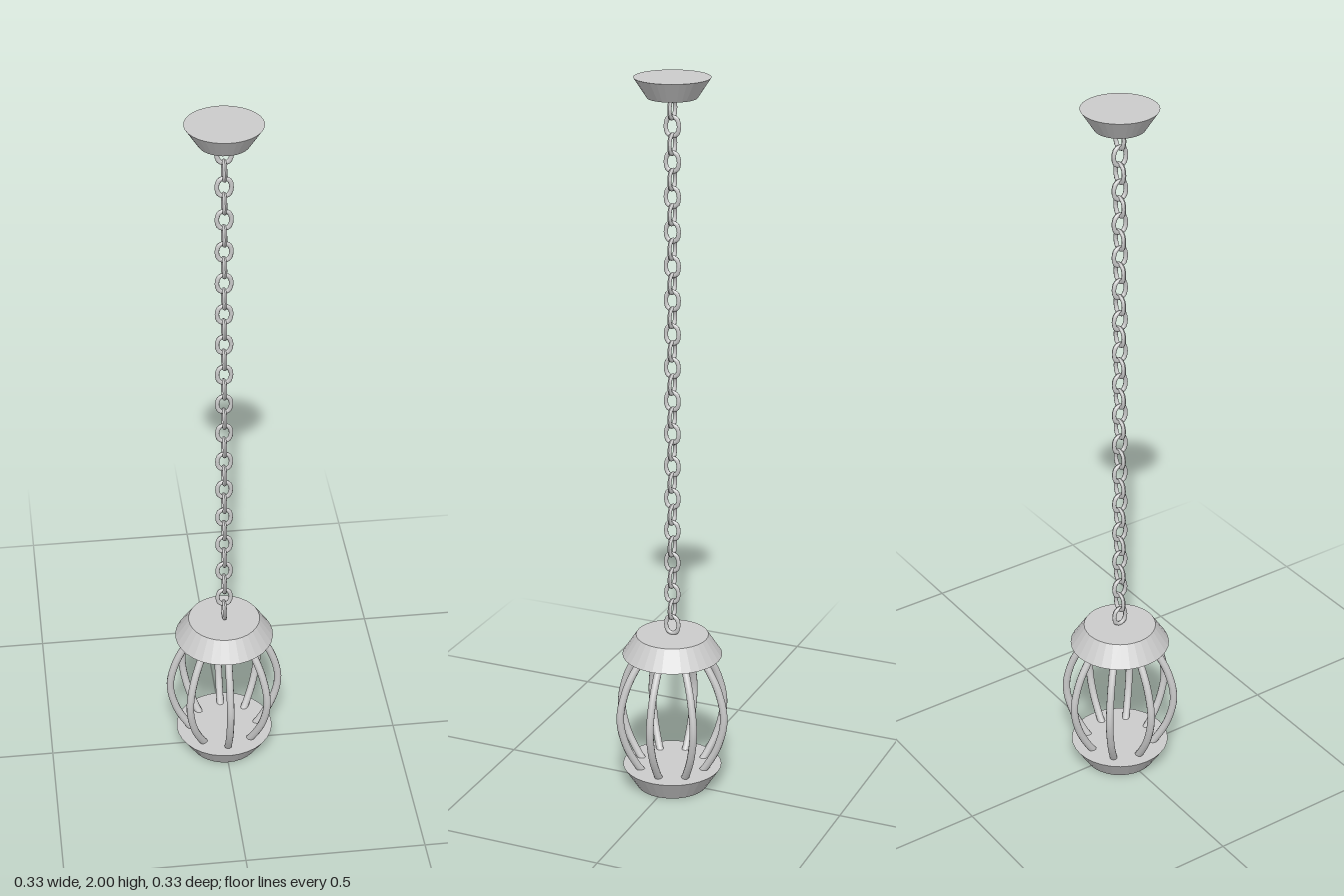
import * as THREE from 'three';

const metal = new THREE.MeshStandardMaterial({ color: 0xcccccc });
const facetedMetal = new THREE.MeshStandardMaterial({ color: 0xcccccc, flatShading: true });

// Tapered solid disc standing between two heights
function taperedDisc(name, yBottom, yTop, rBottom, rTop) {
  const geometry = new THREE.CylinderGeometry(rTop, rBottom, yTop - yBottom, 32);
  const mesh = new THREE.Mesh(geometry, facetedMetal);
  mesh.position.y = (yBottom + yTop) / 2;
  mesh.name = name;
  return mesh;
}

export function createModel() {
  const model = new THREE.Group();
  model.name = 'hangingLantern';

  // Ceiling mount and the two lantern caps
  model.add(
    taperedDisc('ceilingMount', 1.947, 2, 0.065, 0.1),
    taperedDisc('lanternTop', 0.397, 0.455, 0.138, 0.1),
    taperedDisc('lanternBase', 0, 0.06, 0.1, 0.138)
  );

  // Chain of oval links, each turned a quarter from the last
  const chain = new THREE.Group();
  chain.name = 'chain';
  const linkGeometry = new THREE.TorusGeometry(0.0185, 0.0058, 8, 20);
  // Stretch the ring into an oval while keeping the wire round
  const p = linkGeometry.attributes.position;
  for (let i = 0; i < p.count; i++) {
    const y = p.getY(i);
    p.setY(i, y + 0.0065 * THREE.MathUtils.clamp(y / 0.0125, -1, 1));
  }
  linkGeometry.computeVertexNormals();
  for (let i = 0; i < 32; i++) {
    const link = new THREE.Mesh(linkGeometry, metal);
    link.name = 'chainLink';
    link.position.y = 1.919 - i * 0.0463;
    link.rotation.y = (i % 2) * Math.PI / 2;
    chain.add(link);
  }
  model.add(chain);

  // Cage of eight bowed bars
  const cage = new THREE.Group();
  cage.name = 'cage';
  const profile = [[0.075, 0.41], [0.104, 0.372], [0.138, 0.305], [0.155, 0.222],
    [0.138, 0.139], [0.104, 0.072], [0.085, 0.045]];
  const path = new THREE.CatmullRomCurve3(profile.map(([r, y]) => new THREE.Vector3(r, y, 0)));
  const barGeometry = new THREE.TubeGeometry(path, 28, 0.0105, 10);
  for (let i = 0; i < 8; i++) {
    const bar = new THREE.Mesh(barGeometry, metal);
    bar.name = 'cageBar';
    bar.rotation.y = i * Math.PI / 4;
    cage.add(bar);
  }
  model.add(cage);

  return model;
}
